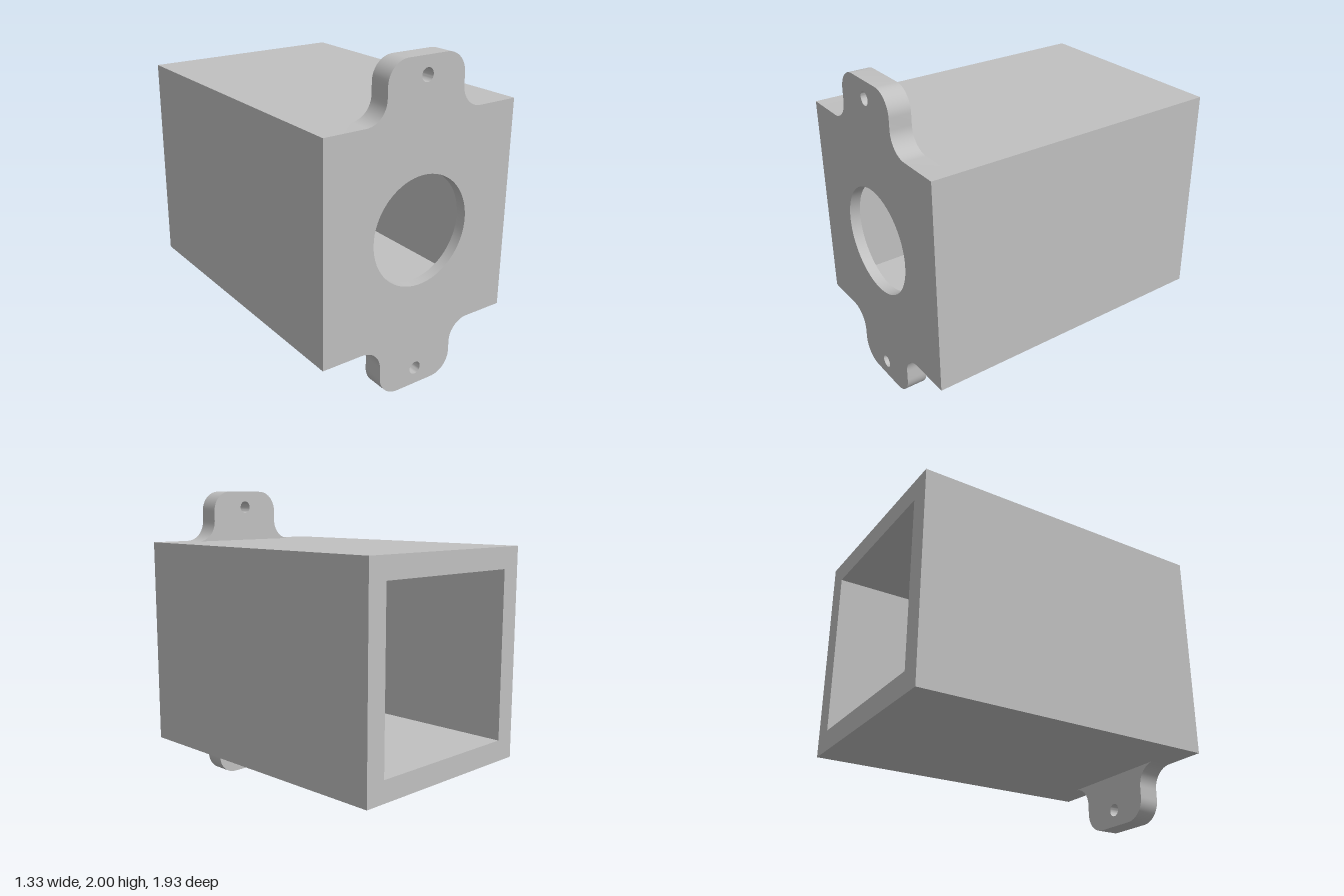
import * as THREE from 'three';
import { toCreasedNormals } from 'three/addons/utils/BufferGeometryUtils.js';

const B = 0.667, INNER = 0.533;                 // outer and inner half width
const FRONT = 0.967, TAB_BACK = 0.833, PLATE_BACK = 0.9, BACK = -0.967;
const R = 0.133;                                // tab fillet and corner radius
const BORE = 0.335, SCREW = 0.04, SCREW_Y = 0.893;

// Points along an arc, angles in quarter turns
function arc(cx, cy, r, from, to, steps = 12) {
  return Array.from({ length: steps + 1 }, (_, i) => {
    const a = (from + (to - from) * i / steps) * Math.PI / 2;
    return new THREE.Vector2(cx + r * Math.cos(a), cy + r * Math.sin(a));
  });
}
const circle = (cy, r, steps) => arc(0, cy, r, 0, 4, steps).slice(0, -1);
const square = h => [[-h, -h], [h, -h], [h, h], [-h, h]].map(p => new THREE.Vector2(...p));
const reversed = pts => [...pts].reverse();

// Walls along a closed counter-clockwise outline; a reversed outline faces inward
function wall(pts, z0, z1) {
  const pos = [];
  pts.forEach((a, i) => {
    const b = pts[(i + 1) % pts.length];
    pos.push(a.x, a.y, z0, b.x, b.y, z0, b.x, b.y, z1,
      a.x, a.y, z0, b.x, b.y, z1, a.x, a.y, z1);
  });
  const g = new THREE.BufferGeometry();
  g.setAttribute('position', new THREE.Float32BufferAttribute(pos, 3));
  return toCreasedNormals(g, Math.PI / 6);
}

// Flat face with holes; back faces are turned round (all outlines are symmetric)
function face(pts, holes, z, facesBack) {
  const shape = new THREE.Shape(pts);
  shape.holes = holes.map(h => new THREE.Path(h));
  const g = new THREE.ShapeGeometry(shape);
  if (facesBack) g.rotateY(Math.PI);
  return g.translate(0, 0, z);
}

export function createModel() {
  const model = new THREE.Group();
  model.name = 'mountingHousing';
  const grey = new THREE.MeshStandardMaterial({ color: 0xc0c0c0 });
  grey.name = 'grey';
  const add = (name, geometry) => {
    const mesh = new THREE.Mesh(geometry, grey);
    mesh.name = name;
    mesh.position.y = 1;
    model.add(mesh);
  };

  // Outlines, centred on the bore
  const lowerTab = [
    ...arc(-3 * R, -B - R, R, 1, 0),
    ...arc(-R, -1 + R, R, 2, 3),
    ...arc(R, -1 + R, R, 3, 4),
    ...arc(3 * R, -B - R, R, 2, 1),
  ];
  const upperTab = lowerTab.map(p => p.clone().negate());
  const [c0, c1, c2, c3] = square(B);
  const outline = [c0, ...lowerTab, c1, c2, ...upperTab, c3];
  const bore = circle(0, BORE, 64);
  const screws = [-SCREW_Y, SCREW_Y].map(y => circle(y, SCREW, 32));

  // Front plate
  add('frontFace', face(outline, [bore, ...screws], FRONT));
  add('frontEdge', wall(outline, TAB_BACK, FRONT));
  add('boreWall', wall(reversed(bore), PLATE_BACK, FRONT));
  add('frontPlateInside', face(square(INNER), [bore], PLATE_BACK, true));

  // Mounting tabs
  [lowerTab, upperTab].forEach((tab, i) => {
    const side = ['lower', 'upper'][i];
    add(side + 'TabBack', face(tab, [screws[i]], TAB_BACK, true));
    add(side + 'ScrewHole', wall(reversed(screws[i]), TAB_BACK, FRONT));
  });

  // Hollow box, open at the back
  add('boxOutside', wall(square(B), BACK, TAB_BACK));
  add('boxInside', wall(reversed(square(INNER)), BACK, PLATE_BACK));
  add('backRim', face(square(B), [square(INNER)], BACK, true));

  return model;
}
